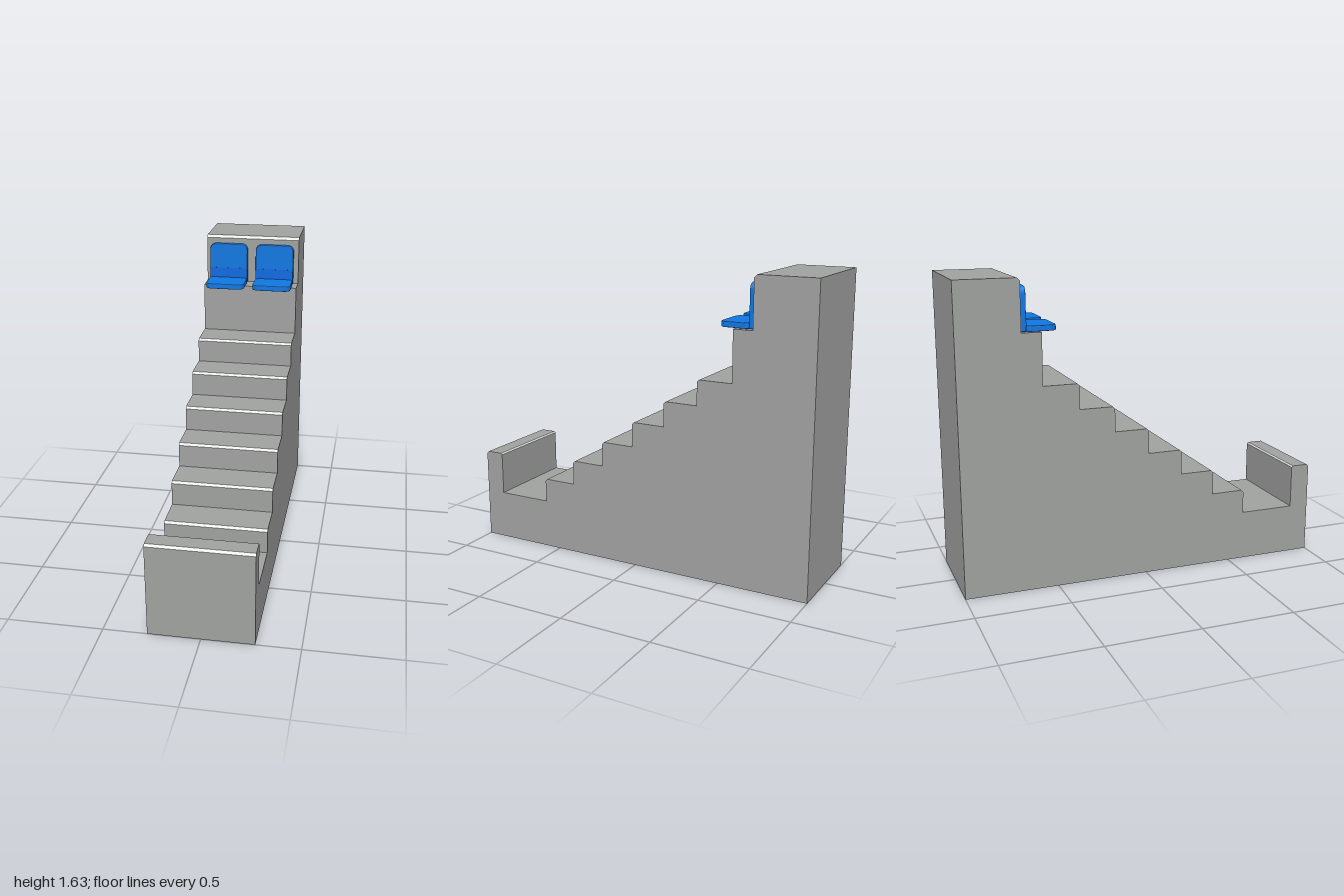
import * as THREE from 'three';

const makeMaterial = (name, color) => {
  const material = new THREE.MeshStandardMaterial({ color });
  material.name = name;
  return material;
};
const concrete = makeMaterial('concrete grey', 0xa1a3a1);
const nosing = makeMaterial('nosing light grey', 0xe2e4e2);
const plastic = makeMaterial('seat blue', 0x0f78e2);
const deepPlastic = makeMaterial('seat deep blue', 0x0f6ae2);
concrete.side = nosing.side = THREE.DoubleSide; // the stand is an open shell

const HALF = 0.272;

// Side outline of the stand as [z, y], from the front foot over the steps to the back foot
function standOutline() {
  const c = 0.012; // chamfer of each nosing
  const pts = [[1, 0], [1, 0.512 - c], [1 - c, 0.512], [0.9, 0.512], [0.892, 0.504], [0.892, 0.272]];
  let y = 0.272;
  const step = (z, top, chamfer = c) => {
    pts.push([z, y]);
    if (chamfer) pts.push([z, top - chamfer], [z - chamfer, top]);
    else pts.push([z, top]);
    y = top;
  };
  for (let i = 0; i < 6; i++) step(0.587 - i * 0.1912, 0.405 + i * 0.1366);
  step(-0.563, 1.363, 0);
  step(-0.668, 1.635, 0.015);
  pts.push([-1, 1.635], [-1, 0]);
  return pts;
}

// Hollow stand, open underneath: one strip swept across the width, sloping faces in the nosing colour
function stripGeometry(pts) {
  const pos = [];
  const geo = new THREE.BufferGeometry();
  for (let i = 0; i < pts.length - 1; i++) {
    const [z0, y0] = pts[i], [z1, y1] = pts[i + 1];
    const a = [-HALF, y0, z0], b = [HALF, y0, z0], c = [HALF, y1, z1], d = [-HALF, y1, z1];
    pos.push(...a, ...b, ...c, ...a, ...c, ...d);
    geo.addGroup(i * 6, 6, z0 !== z1 && y0 !== y1 ? 1 : 0);
  }
  geo.setAttribute('position', new THREE.Float32BufferAttribute(pos, 3));
  geo.computeVertexNormals();
  return geo;
}

// Rectangle centred on x with separate radii for its lower and upper corners
function panelShape(w, h, rLow, rHigh) {
  const s = new THREE.Shape(), x = w / 2;
  s.moveTo(-x + rLow, 0);
  s.lineTo(x - rLow, 0);
  s.quadraticCurveTo(x, 0, x, rLow);
  s.lineTo(x, h - rHigh);
  s.quadraticCurveTo(x, h, x - rHigh, h);
  s.lineTo(-x + rHigh, h);
  s.quadraticCurveTo(-x, h, -x, h - rHigh);
  s.lineTo(-x, rLow);
  s.quadraticCurveTo(-x, 0, -x + rLow, 0);
  return s;
}

// Panel with softened rims, its depth running from 0 to t along z
function panelGeometry(w, h, t, rLow, rHigh) {
  const b = 0.004;
  const geo = new THREE.ExtrudeGeometry(panelShape(w - 2 * b, h - 2 * b, rLow, rHigh), {
    depth: t - 2 * b, bevelEnabled: true, bevelSize: b, bevelThickness: b, bevelSegments: 2, curveSegments: 6,
  });
  return geo.translate(0, b, b);
}

function makeSeat(x) {
  const seat = new THREE.Group();
  seat.name = 'seat';
  // Cushion lies flat, with its rounded end towards the front
  const cushion = new THREE.Mesh(panelGeometry(0.222, 0.162, 0.03, 0.025, 0.035).rotateX(Math.PI / 2), plastic);
  cushion.name = 'seatBase';
  cushion.position.set(0, 1.393, -0.637);
  const back = new THREE.Mesh(panelGeometry(0.222, 0.229, 0.03, 0.006, 0.035), plastic);
  back.name = 'seatBack';
  back.position.set(0, 1.363, -0.665);
  // Deeper blue band across the foot of the backrest
  const band = new THREE.Mesh(new THREE.BoxGeometry(0.214, 0.06, 0.002), deepPlastic);
  band.name = 'seatBackBand';
  band.position.set(0, 1.42, -0.635);
  seat.add(cushion, back, band);
  seat.position.x = x;
  return seat;
}

export function createModel() {
  const model = new THREE.Group();
  model.name = 'grandstandSection';

  const outline = standOutline();
  const steps = new THREE.Mesh(stripGeometry(outline), [concrete, nosing]);
  steps.name = 'steps';
  model.add(steps);

  // Side walls: shape drawn with -z as its x axis, turned to face outwards
  const wallShape = new THREE.Shape(outline.map(([z, y]) => new THREE.Vector2(-z, y)));
  for (const side of [-1, 1]) {
    const geo = new THREE.ShapeGeometry(wallShape).rotateY(Math.PI / 2);
    const wall = new THREE.Mesh(geo, concrete);
    wall.name = side > 0 ? 'leftWall' : 'rightWall';
    if (side < 0) {
      // Turn the right wall around so its front faces -x
      geo.index.array.reverse();
      geo.computeVertexNormals();
    }
    wall.position.x = side * HALF;
    model.add(wall);
  }

  for (const x of [-0.138, 0.133]) model.add(makeSeat(x));
  return model;
}
